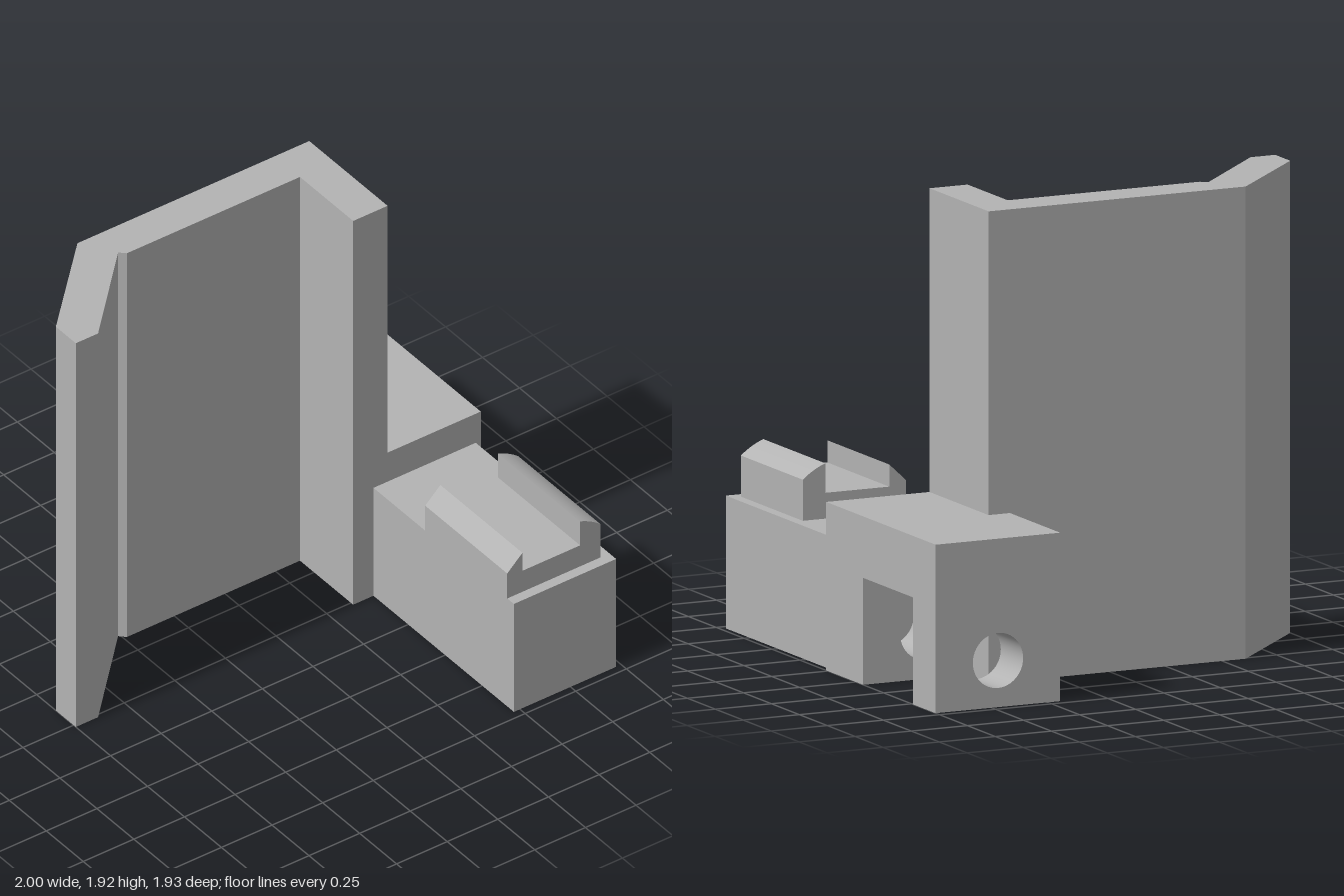
import * as THREE from 'three';
import { toCreasedNormals } from 'three/addons/utils/BufferGeometryUtils.js';

export function createModel() {
  const model = new THREE.Group();
  model.name = 'bracketAssembly';
  const grey = new THREE.MeshStandardMaterial({ color: 0xb3b3b3 });
  grey.name = 'plain grey';

  const add = (name, geometry) => {
    const mesh = new THREE.Mesh(geometry, grey);
    mesh.name = name;
    model.add(mesh);
    return mesh;
  };
  const box = (name, x0, x1, y0, y1, z0, z1) =>
    add(name, new THREE.BoxGeometry(x1 - x0, y1 - y0, z1 - z0))
      .position.set((x0 + x1) / 2, (y0 + y1) / 2, (z0 + z1) / 2);
  const polygon = (points) => new THREE.Shape(points.map(([x, y]) => new THREE.Vector2(x, y)));
  const extrude = (shape, depth) => toCreasedNormals(
    new THREE.ExtrudeGeometry(shape, { depth, bevelEnabled: false, curveSegments: 24 }), 0.5);

  // Tall bent plate: plan outline as x, z, raised along y
  const plan = [
    [-1, -0.12], [-0.605, -0.515], [0.54, -0.515], [0.54, 0.015], [0.37, 0.015],
    [0.37, -0.345], [-0.485, -0.345], [-0.51, -0.37], [-0.89, 0.015], [-1, 0.015],
  ];
  const plate = extrude(polygon(plan.map(([x, z]) => [x, -z])), 1.92);
  plate.rotateX(-Math.PI / 2);
  add('bentPlate', plate);

  // Rear clevis: two bored legs joined by a bridge
  const leg = (name, z0, z1) => {
    const shape = polygon([[0.445, 0], [1, 0], [1, 0.685], [0.445, 0.685]]);
    const bore = new THREE.Path();
    bore.absarc(0.722, 0.19, 0.112, 0, Math.PI * 2, true);
    shape.holes.push(bore);
    add(name, extrude(shape, z1 - z0)).position.z = z0;
  };
  leg('clevisFrontLeg', -0.315, 0.015);
  leg('clevisRearLeg', -0.965, -0.765);
  box('clevisBridge', 0.445, 1, 0.435, 0.685, -0.765, -0.315);

  // Forward arm
  box('forwardArm', 0.47, 0.975, 0, 0.54, 0.015, 0.965);

  // Channel on the arm with one sloped lip and one rounded lip
  const rail = polygon([[0.47, 0.54], [0.93, 0.54], [0.93, 0.707]]);
  rail.quadraticCurveTo(0.885, 0.745, 0.83, 0.765);
  [[0.83, 0.645], [0.545, 0.645], [0.545, 0.735], [0.47, 0.665]].forEach(([x, y]) => rail.lineTo(x, y));
  add('channelRail', extrude(rail, 0.555)).position.z = 0.365;

  return model;
}
